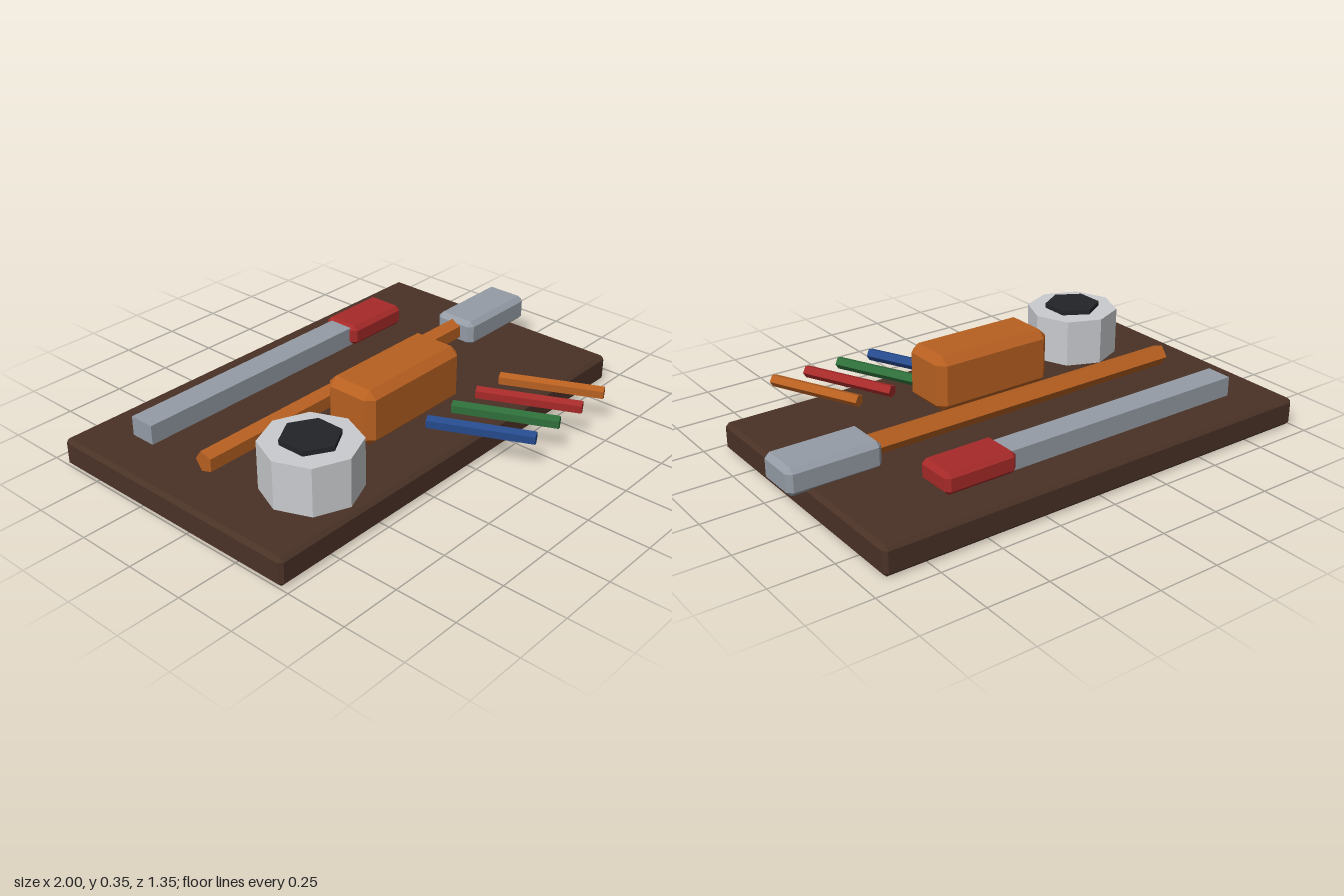
import * as THREE from 'three';
import { ConvexGeometry } from 'three/addons/geometries/ConvexGeometry.js';

const material = (color) => new THREE.MeshStandardMaterial({ color, flatShading: true });
const wood = material(0x4a3226);
const steel = material(0x959ca6);
const tin = material(0xc9cbce);
const black = material(0x222428);
const red = material(0xa62a28);
const orange = material(0xb86020);
const blue = material(0x254a8c);
const green = material(0x2e6e3a);

// Box with every edge cut at 45 degrees, given by its bounds
function chamferBox([x0, x1], [y0, y1], [z0, z1], c) {
  const h = [(x1 - x0) / 2, (y1 - y0) / 2, (z1 - z0) / 2];
  const points = [];
  for (const sx of [-1, 1]) for (const sy of [-1, 1]) for (const sz of [-1, 1]) {
    for (let axis = 0; axis < 3; axis++) {
      const p = h.map((v, i) => (i === axis ? v : v - c));
      points.push(new THREE.Vector3(sx * p[0], sy * p[1], sz * p[2]));
    }
  }
  return new ConvexGeometry(points).translate((x0 + x1) / 2, (y0 + y1) / 2, (z0 + z1) / 2);
}

export function createModel() {
  const model = new THREE.Group();
  model.name = 'toolBoard';
  const add = (name, geometry, mat, parent = model) => {
    const mesh = new THREE.Mesh(geometry, mat);
    mesh.name = name;
    parent.add(mesh);
    return mesh;
  };
  const group = (name) => {
    const g = new THREE.Group();
    g.name = name;
    model.add(g);
    return g;
  };

  // Base board
  add('board', chamferBox([-1, 0.92], [0, 0.115], [-0.68, 0.47], 0.015), wood);

  // Chisel: flat steel bar with a red grip
  const chisel = group('chisel');
  add('blade', new THREE.BoxGeometry(1.1, 0.08, 0.11).translate(-0.26, 0.155, -0.45), steel, chisel);
  add('grip', chamferBox([0.27, 0.575], [0.118, 0.205], [-0.535, -0.365], 0.018), red, chisel);

  // Hammer: five-sided shaft and steel head
  const hammer = group('hammer');
  const shaft = new THREE.CylinderGeometry(0.044, 0.044, 1.46, 5, 1, false, Math.PI);
  add('shaft', shaft.rotateZ(Math.PI / 2).translate(-0.08, 0.16, -0.106), orange, hammer);
  add('head', chamferBox([0.615, 1], [0.102, 0.213], [-0.2, -0.012], 0.02), steel, hammer);

  // Wooden block
  add('block', chamferBox([-0.31, 0.225], [0.118, 0.35], [0.012, 0.243], 0.032), orange);

  // Octagonal pot with a dark six-sided inset
  const pot = group('pot');
  add('potBody', new THREE.CylinderGeometry(0.19, 0.19, 0.2, 8).translate(-0.618, 0.21, 0.243), tin, pot);
  add('potInset', new THREE.CylinderGeometry(0.115, 0.115, 0.03, 6).translate(-0.618, 0.315, 0.243), black, pot);

  // Row of slanted pencils overhanging the front edge
  const pencils = group('pencils');
  [blue, green, red, orange].forEach((mat, i) => {
    const g = new THREE.CylinderGeometry(0.0265, 0.0265, 0.42, 5, 1, false, Math.PI / 2);
    g.rotateX(Math.PI / 2).rotateY(0.43);
    add('pencil', g.translate(0.055 + i * 0.153, 0.138, 0.474), mat, pencils);
  });

  return model;
}
